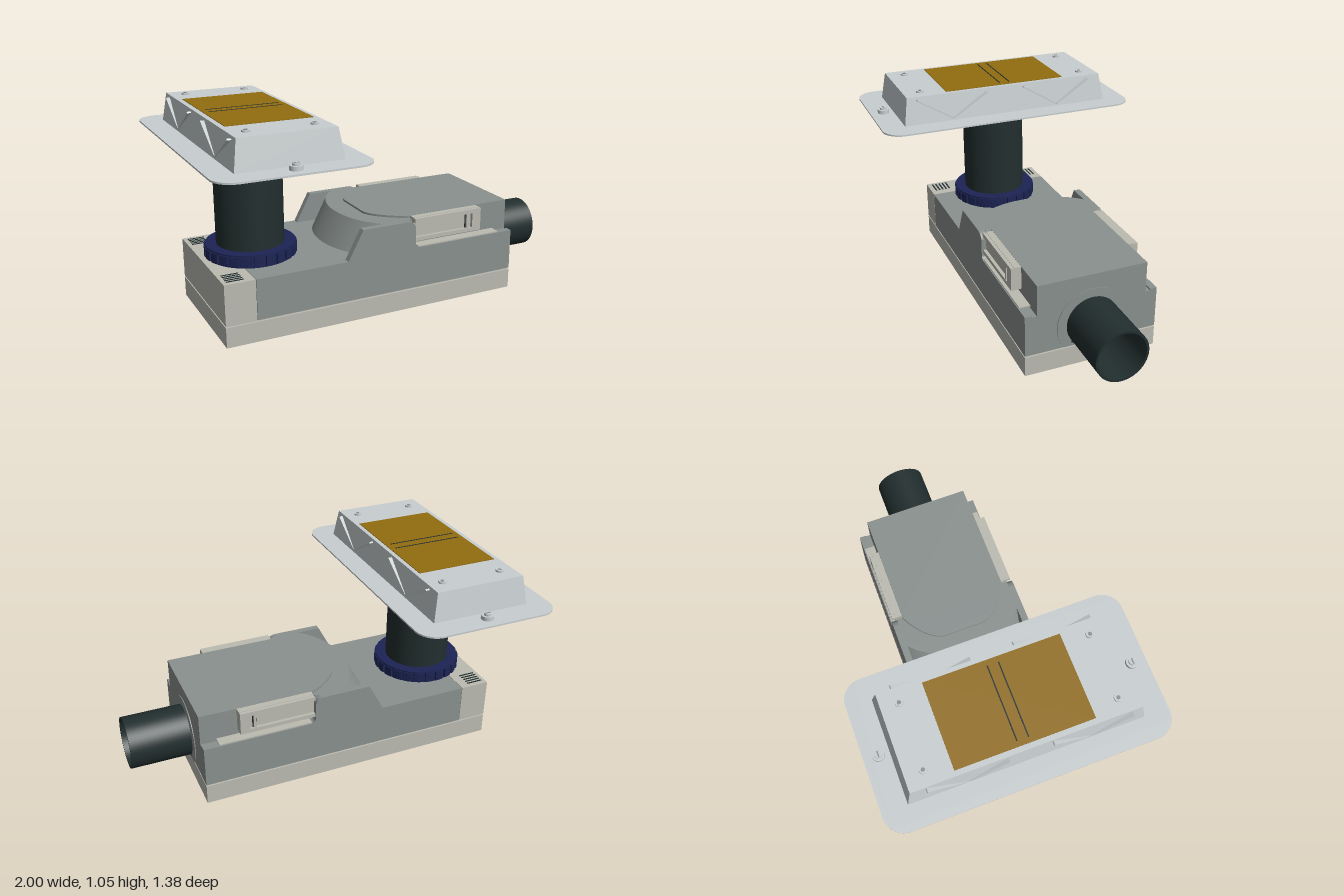
import * as THREE from 'three';
import { toCreasedNormals } from 'three/addons/utils/BufferGeometryUtils.js';

const mat = (name, color, side = THREE.FrontSide) => {
  const m = new THREE.MeshStandardMaterial({ color, side });
  m.name = name;
  return m;
};

export function createModel() {
  const root = new THREE.Group();
  const grey = mat('bodyGrey', 0x8a918f);
  const beige = mat('beige', 0xbbbbb2);
  const light = mat('paleGrey', 0xc8ced0);
  const dark = mat('darkPipe', 0x222e2e, THREE.DoubleSide);
  const blue = mat('navy', 0x1c2454);
  const amber = mat('amber', 0x926d10);

  const add = (name, geo, material, x = 0, y = 0, z = 0) => {
    const m = new THREE.Mesh(geo, material);
    m.name = name;
    m.position.set(x, y, z);
    root.add(m);
    return m;
  };
  // box given by its min and max on each axis
  const box = (name, material, x0, x1, y0, y1, z0, z1) =>
    add(name, new THREE.BoxGeometry(x1 - x0, y1 - y0, z1 - z0), material,
      (x0 + x1) / 2, (y0 + y1) / 2, (z0 + z1) / 2);
  const disc = (name, material, r, x, y0, y1, z, n = 32) =>
    add(name, new THREE.CylinderGeometry(r, r, y1 - y0, n), material, x, (y0 + y1) / 2, z);
  // plan outline (x, -z) raised from y = 0 to height
  const slab = (shape, height) => new THREE.ExtrudeGeometry(shape,
    { depth: height, bevelEnabled: false, curveSegments: 24 }).rotateX(-Math.PI / 2);
  // open pipe wall along y with a rim at each end
  const pipe = (r, wall, h) => new THREE.LatheGeometry([
    [r - wall, 0], [r, 0], [r, 0], [r, h], [r, h], [r - wall, h], [r - wall, h], [r - wall, 0],
  ].map(p => new THREE.Vector2(...p)), 48);

  // ---- Base and main housing
  box('base', beige, -0.885, 0.69, 0, 0.102, -0.34, 0.34);
  box('baseSeam', beige, -0.875, 0.68, 0.102, 0.11, -0.33, 0.33);
  box('housing', grey, -0.73, 0.69, 0.11, 0.315, -0.34, 0.34);
  box('endCap', beige, -0.885, -0.732, 0.11, 0.315, -0.34, 0.34);

  // Vent slits in the end cap corners
  for (const s of [-1, 1]) for (let i = 0; i < 5; i++) {
    const z = s * (0.23 + i * 0.02);
    box('ventSlit', dark, -0.865, -0.78, 0.314, 0.317, z - 0.004, z + 0.004);
  }

  // Side cheeks with a ramp at the front and a rounded step at the back
  const cheek = new THREE.Shape();
  cheek.moveTo(-0.26, 0.315);
  cheek.lineTo(-0.18, 0.465);
  cheek.lineTo(0.07, 0.465);
  cheek.quadraticCurveTo(0.105, 0.462, 0.112, 0.43);
  cheek.lineTo(0.112, 0.345);
  cheek.quadraticCurveTo(0.115, 0.325, 0.14, 0.323);
  cheek.lineTo(0.69, 0.323);
  cheek.lineTo(0.69, 0.315);
  for (const z of [-0.34, 0.305]) {
    add('sideCheek', new THREE.ExtrudeGeometry(cheek, { depth: 0.035, bevelEnabled: false }), grey, 0, 0, z);
  }

  // Rounded nose, sloping outwards towards its foot
  const nose = new THREE.Shape();
  nose.moveTo(0.105, -0.31);
  nose.lineTo(0.105, 0.31);
  nose.lineTo(-0.05, 0.31);
  nose.bezierCurveTo(-0.14, 0.23, -0.18, 0.12, -0.18, 0);
  nose.bezierCurveTo(-0.18, -0.12, -0.14, -0.23, -0.05, -0.31);
  const noseGeo = slab(nose, 0.15);
  const np = noseGeo.attributes.position;
  for (let i = 0; i < np.count; i++) {
    if (np.getY(i) < 0.01 && np.getX(i) < 0.1) np.setX(i, np.getX(i) - 0.08);
  }
  add('nose', toCreasedNormals(noseGeo, 0.5), grey, 0, 0.315, 0);

  // Lid with a rounded front
  const lid = new THREE.Shape();
  lid.moveTo(0.69, -0.28);
  lid.lineTo(0.69, 0.28);
  lid.lineTo(0.1, 0.28);
  lid.bezierCurveTo(0.03, 0.25, -0.07, 0.17, -0.07, 0.1);
  lid.lineTo(-0.07, -0.1);
  lid.bezierCurveTo(-0.07, -0.17, 0.03, -0.25, 0.1, -0.28);
  add('lid', toCreasedNormals(slab(lid, 0.16), 0.5), grey, 0, 0.315, 0);

  // Latches on both sides of the lid
  for (const s of [-1, 1]) {
    const side = (name, m, x0, x1, y0, y1, a, b) =>
      box(name, m, x0, x1, y0, y1, Math.min(s * a, s * b), Math.max(s * a, s * b));
    side('latch', beige, 0.112, 0.5, 0.355, 0.474, 0.278, 0.315);
    side('latchTopRail', beige, 0.112, 0.5, 0.45, 0.472, 0.315, 0.332);
    side('latchBottomRail', beige, 0.112, 0.5, 0.355, 0.375, 0.315, 0.332);
    side('latchEnd', beige, 0.45, 0.5, 0.375, 0.45, 0.315, 0.332);
    side('latchSlot', dark, 0.413, 0.435, 0.365, 0.457, 0.315, 0.32);
    side('latchTab', beige, 0.417, 0.431, 0.37, 0.452, 0.315, 0.33);
    side('seam', beige, 0.13, 0.61, 0.323, 0.329, 0.28, 0.335);
  }

  // ---- Outlet pipe and its round seat
  const seat = new THREE.Shape();
  const cut = Math.asin(0.108 / 0.18);
  seat.absarc(0, 0.22, 0.18, -cut, Math.PI + cut, false);
  add('pipeSeat', new THREE.ExtrudeGeometry(seat,
    { depth: 0.004, bevelEnabled: false, curveSegments: 40 }).rotateY(Math.PI / 2), grey, 0.69, 0, 0);
  add('outletPipe', toCreasedNormals(pipe(0.132, 0.012, 0.31), 0.6).rotateZ(-Math.PI / 2), dark, 0.69, 0.223, 0);
  box('outletOpening', dark, 0.69, 0.698, 0.13, 0.285, -0.105, 0.105);

  // ---- Upright duct with its knurled locking ring
  const cx = -0.634;
  disc('uprightPipe', dark, 0.168, cx, 0.315, 0.88, 0, 48);
  disc('pipeFlange', dark, 0.183, cx, 0.874, 0.89, 0, 48);
  const ring = new THREE.Shape();
  const teeth = 24;
  for (let i = 0; i < teeth; i++) {
    [[0, 0.228], [0.38, 0.229], [0.76, 0.228], [0.78, 0.217], [0.98, 0.217]].forEach(([t, r], k) => {
      const a = (i + t) / teeth * Math.PI * 2;
      ring[i + k ? 'lineTo' : 'moveTo'](r * Math.cos(a), r * Math.sin(a));
    });
  }
  add('lockingRing', toCreasedNormals(slab(ring, 0.05), 0.5), blue, cx, 0.322, 0);
  disc('ringFoot', blue, 0.217, cx, 0.315, 0.322, 0, 48);
  disc('ringLip', blue, 0.222, cx, 0.372, 0.38, 0, 48);

  // ---- Mounting plate with rounded corners
  const plate = new THREE.Shape();
  const w = 0.366, d = 0.691, r = 0.1;
  plate.absarc(w - r, d - r, r, 0, Math.PI / 2, false);
  plate.absarc(r - w, d - r, r, Math.PI / 2, Math.PI, false);
  plate.absarc(r - w, r - d, r, Math.PI, Math.PI * 1.5, false);
  plate.absarc(w - r, r - d, r, Math.PI * 1.5, Math.PI * 2, false);
  add('mountingPlate', toCreasedNormals(slab(plate, 0.008), 0.5), light, cx, 0.889, 0);

  // Tapered hood
  const hood = new THREE.BoxGeometry(0.505, 0.143, 1.135);
  const hp = hood.attributes.position;
  for (let i = 0; i < hp.count; i++) {
    if (hp.getY(i) > 0) hp.setXYZ(i, hp.getX(i) * 0.915, hp.getY(i), hp.getZ(i) * 0.96);
  }
  hood.computeVertexNormals();
  add('hood', hood, light, cx, 0.9685, 0);

  // V-shaped ribs on the long sides of the hood
  const rib = (x, za, ya, zb, yb) => {
    const m = add('rib', new THREE.BoxGeometry(0.024, 0.008, Math.hypot(zb - za, yb - ya)),
      light, x, (ya + yb) / 2, (za + zb) / 2);
    m.rotation.x = -Math.atan2(yb - ya, zb - za);
  };
  for (const x of [cx - 0.241, cx + 0.241]) {
    for (const z of [0.305, -0.282]) {
      rib(x, z, 0.907, z + 0.19, 1.025);
      rib(x, z, 0.907, z - 0.19, 1.025);
    }
  }

  // Amber panel with two dark lines
  box('panel', amber, -0.84, -0.425, 1.038, 1.043, -0.333, 0.328);
  for (const z of [-0.034, 0.02]) {
    box('panelLine', dark, -0.815, -0.452, 1.042, 1.0445, z - 0.003, z + 0.003);
  }

  // Hood screws and slotted plate bolts
  for (const z of [-0.458, 0.455]) for (const x of [-0.79, -0.475]) {
    disc('screw', light, 0.019, x, 1.038, 1.049, z, 20);
    disc('screwSocket', grey, 0.01, x, 1.045, 1.0505, z, 6);
  }
  for (const z of [-0.62, 0.62]) {
    disc('boltWasher', light, 0.03, cx, 0.896, 0.917, z, 28);
    disc('boltHead', light, 0.018, cx, 0.917, 0.927, z, 24);
    box('boltSlot', grey, cx - 0.015, cx + 0.015, 0.925, 0.9285, z - 0.003, z + 0.003);
  }
  return root;
}
